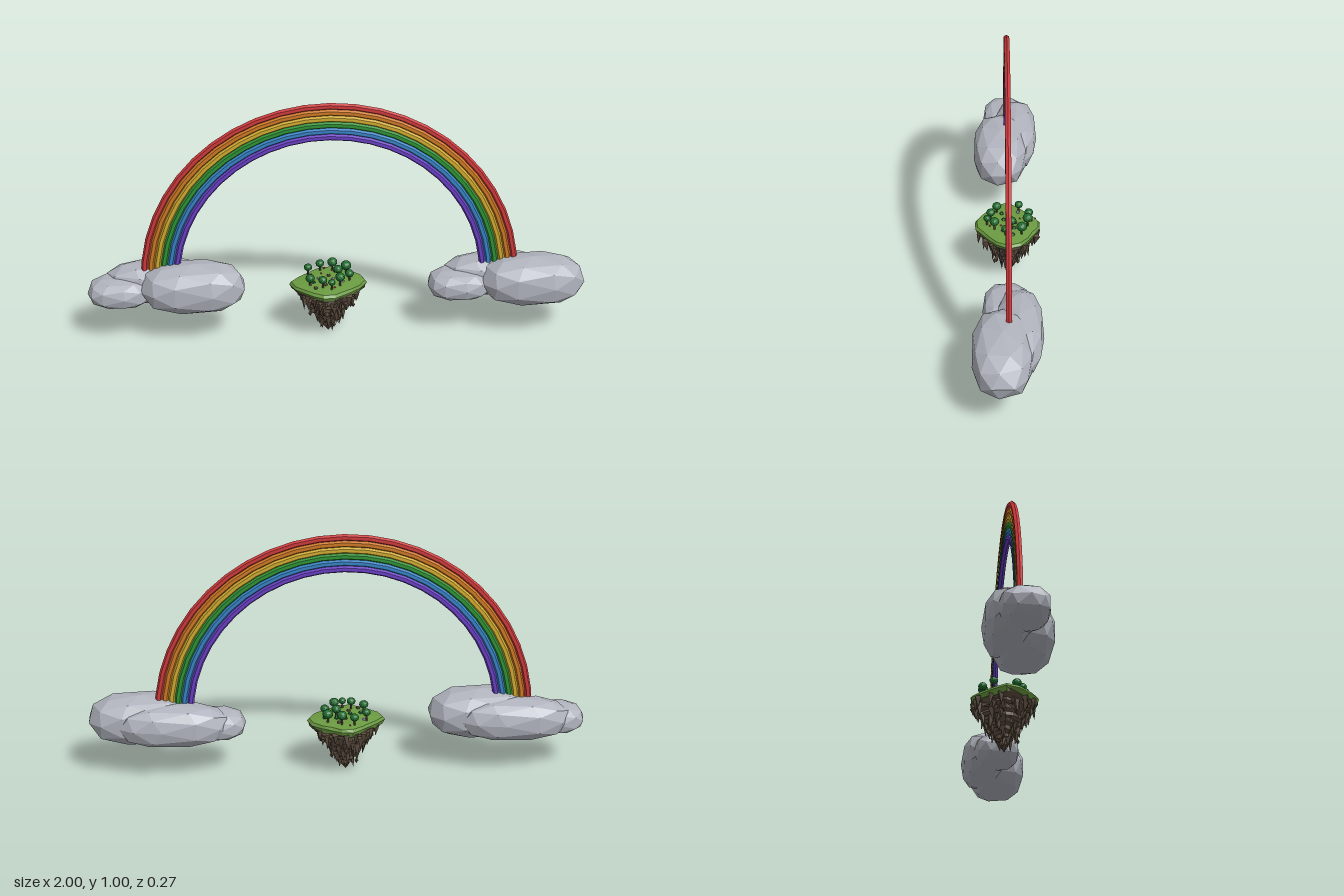
import * as THREE from 'three';

function mat(name, color) {
  const m = new THREE.MeshStandardMaterial({ color, flatShading: true });
  m.name = name;
  return m;
}

// Small seeded random generator
function seeded(seed) {
  return () => {
    seed = (seed * 16807) % 2147483647;
    return seed / 2147483647;
  };
}

function add(parent, name, geometry, material, x = 0, y = 0, z = 0) {
  const mesh = new THREE.Mesh(geometry, material);
  mesh.name = name;
  mesh.position.set(x, y, z);
  parent.add(mesh);
  return mesh;
}

// Faceted, slightly boxy boulder filling the given half sizes
function puffGeometry(hx, hy, hz, turn) {
  const g = new THREE.IcosahedronGeometry(1, 1);
  g.rotateY(turn);
  const p = g.attributes.position;
  const box = (v) => Math.sign(v) * Math.pow(Math.abs(v), 0.78);
  for (let i = 0; i < p.count; i++) p.setXYZ(i, box(p.getX(i)), box(p.getY(i)), box(p.getZ(i)));
  g.computeBoundingBox();
  const b = g.boundingBox.max;
  g.scale(hx / b.x, hy / b.y, hz / b.z);
  g.computeVertexNormals();
  return g;
}

// Closed loft through rings of equal point count
function loft(rings) {
  const n = rings[0].length, pos = [], index = [];
  rings.forEach((r) => r.forEach((v) => pos.push(v.x, v.y, v.z)));
  for (let k = 0; k < rings.length - 1; k++) {
    for (let i = 0; i < n; i++) {
      const a = k * n + i, b = k * n + (i + 1) % n;
      index.push(a, a + n, b, b, a + n, b + n);
    }
  }
  const g = new THREE.BufferGeometry();
  g.setAttribute('position', new THREE.Float32BufferAttribute(pos, 3));
  g.setIndex(index);
  g.computeVertexNormals();
  return g;
}

export function createModel() {
  const model = new THREE.Group();
  const cloudGrey = mat('cloudGrey', 0xb2b5bf);
  const grassGreen = mat('grassGreen', 0x6c9c42);
  const leafGreen = mat('leafGreen', 0x1f6b2e);
  const rockBrown = mat('rockBrown', 0x5f4f41);
  const bands = [
    mat('red', 0xcf3a3c), mat('orange', 0xcf7a24), mat('yellow', 0xd2ac30),
    mat('green', 0x2f9436), mat('blue', 0x3784c6), mat('purple', 0x6a40c4),
  ];

  // Rainbow: six concentric faceted tubes
  const rainbow = new THREE.Group();
  rainbow.name = 'rainbow';
  rainbow.position.set(-0.025, 0.24, 0);
  model.add(rainbow);
  bands.forEach((m, i) => {
    const tube = new THREE.TorusGeometry(0.747 - i * 0.0258, 0.0135, 6, 24, Math.PI);
    tube.scale(1, 1, 0.92);
    add(rainbow, m.name + 'Band', tube, m);
  });

  // Clouds: two identical clusters of three puffs
  for (const [name, x] of [['rightCloud', -0.685], ['leftCloud', 0.685]]) {
    const cloud = new THREE.Group();
    cloud.name = name;
    cloud.position.x = x;
    add(cloud, 'mainPuff', puffGeometry(0.208, 0.1, 0.112, 0.3), cloudGrey, 0.107, 0.23, 0.026);
    add(cloud, 'backPuff', puffGeometry(0.215, 0.085, 0.092, 0.9), cloudGrey, -0.025, 0.225, -0.04);
    add(cloud, 'smallPuff', puffGeometry(0.13, 0.06, 0.095, 0.1), cloudGrey, -0.185, 0.208, 0.005);
    model.add(cloud);
  }

  // Floating island
  const island = new THREE.Group();
  island.name = 'island';
  island.position.set(-0.032, 0, -0.003);
  model.add(island);
  const rand = seeded(71);
  const outline = [0.155, 0.148, 0.13, 0.122, 0.13, 0.132, 0.118, 0.117, 0.128,
    0.158, 0.145, 0.128, 0.13, 0.138, 0.134, 0.12, 0.122, 0.138];
  const sides = outline.length;
  const ring = (scale, y, jitter, drop = 0) => outline.map((r, i) => {
    const a = -i / sides * Math.PI * 2;
    const q = r * scale * (1 + (rand() - 0.5) * jitter);
    return new THREE.Vector3(Math.cos(a) * q, y - rand() * drop, -Math.sin(a) * q * -1);
  });

  // Grass cap with a drooping rim
  add(island, 'grass', loft([
    ring(0, 0.232, 0), ring(0.6, 0.232, 0.1), ring(0.95, 0.226, 0.04),
    ring(1, 0.215, 0.03), ring(0.93, 0.2, 0.05, 0.01), ring(0, 0.206, 0),
  ].map((r) => r.reverse())), grassGreen).material.side = THREE.DoubleSide;

  // Rock strata tapering to a point
  const strata = [];
  const levels = 8;
  for (let k = 0; k < levels; k++) {
    const t = k / levels, y = 0.212 - t * 0.19;
    const s = 0.92 * Math.pow(1 - t, 0.9);
    strata.push(ring(s, y, 0.16, 0.006), ring(s * 0.98, y - 0.014, 0.16, 0.008));
  }
  strata.push(ring(0, 0, 0));
  add(island, 'rock', loft(strata.map((r) => r.reverse())), rockBrown).material.side = THREE.DoubleSide;

  // Pointed shards hanging from each ledge
  for (let k = 0; k < 7; k++) {
    const count = 16 - k * 2;
    for (let i = 0; i < count; i++) {
      const a = (i + rand() * 0.7) / count * Math.PI * 2;
      const h = 0.035 + rand() * 0.025;
      const r = (0.122 - k * 0.0155) * (0.92 + rand() * 0.14);
      const shard = add(island, 'shard', new THREE.ConeGeometry(0.011 + rand() * 0.007, h, 4),
        rockBrown, Math.cos(a) * r, 0.197 - k * 0.023 - h * 0.4, Math.sin(a) * r);
      shard.rotation.set(Math.PI + (rand() - 0.5) * 0.3, rand() * 3, (rand() - 0.5) * 0.3);
    }
  }

  // Loose fragments beside the rock
  for (const [x, y, z] of [[0.1, 0.125, 0.02], [-0.075, 0.095, 0.03], [0.06, 0.08, -0.04],
    [-0.04, 0.06, -0.055], [0.02, 0.055, 0.055]]) {
    add(island, 'fragment', new THREE.OctahedronGeometry(0.008), rockBrown, x, y, z).scale.y = 1.6;
  }

  // Trees: trunk with a faceted crown
  const trees = [[-0.075, 0.045, 0.019], [-0.025, 0.07, 0.018], [0.045, 0.055, 0.02],
    [0.085, 0.01, 0.018], [0.075, -0.055, 0.022], [0.02, -0.08, 0.021],
    [-0.03, -0.085, 0.018], [-0.08, -0.045, 0.017], [0.04, -0.015, 0.019], [0.01, 0.085, 0.015]];
  trees.forEach(([x, z, r], i) => {
    const tree = new THREE.Group();
    tree.name = 'tree';
    tree.position.set(x, 0.228, z);
    const height = 0.032 + (i % 3) * 0.004;
    add(tree, 'trunk', new THREE.CylinderGeometry(0.003, 0.005, height, 5), rockBrown, 0, height / 2, 0);
    const crown = add(tree, 'crown', new THREE.IcosahedronGeometry(r, 1), leafGreen, 0, height + 0.002, 0);
    crown.scale.y = 0.88;
    crown.rotation.y = i;
    island.add(tree);
  });

  // Stones, bushes and flowers on the grass
  for (let i = 0; i < 16; i++) {
    const a = i * 2.4, r = 0.02 + 0.0052 * i;
    const [name, m, size] = [['stone', cloudGrey, 0.007], ['bush', leafGreen, 0.009],
      ['stone', rockBrown, 0.008], ['flower', bands[0], 0.004]][i % 4];
    add(island, name, new THREE.DodecahedronGeometry(size), m, Math.cos(a) * r, 0.234, Math.sin(a) * r);
  }
  return model;
}
